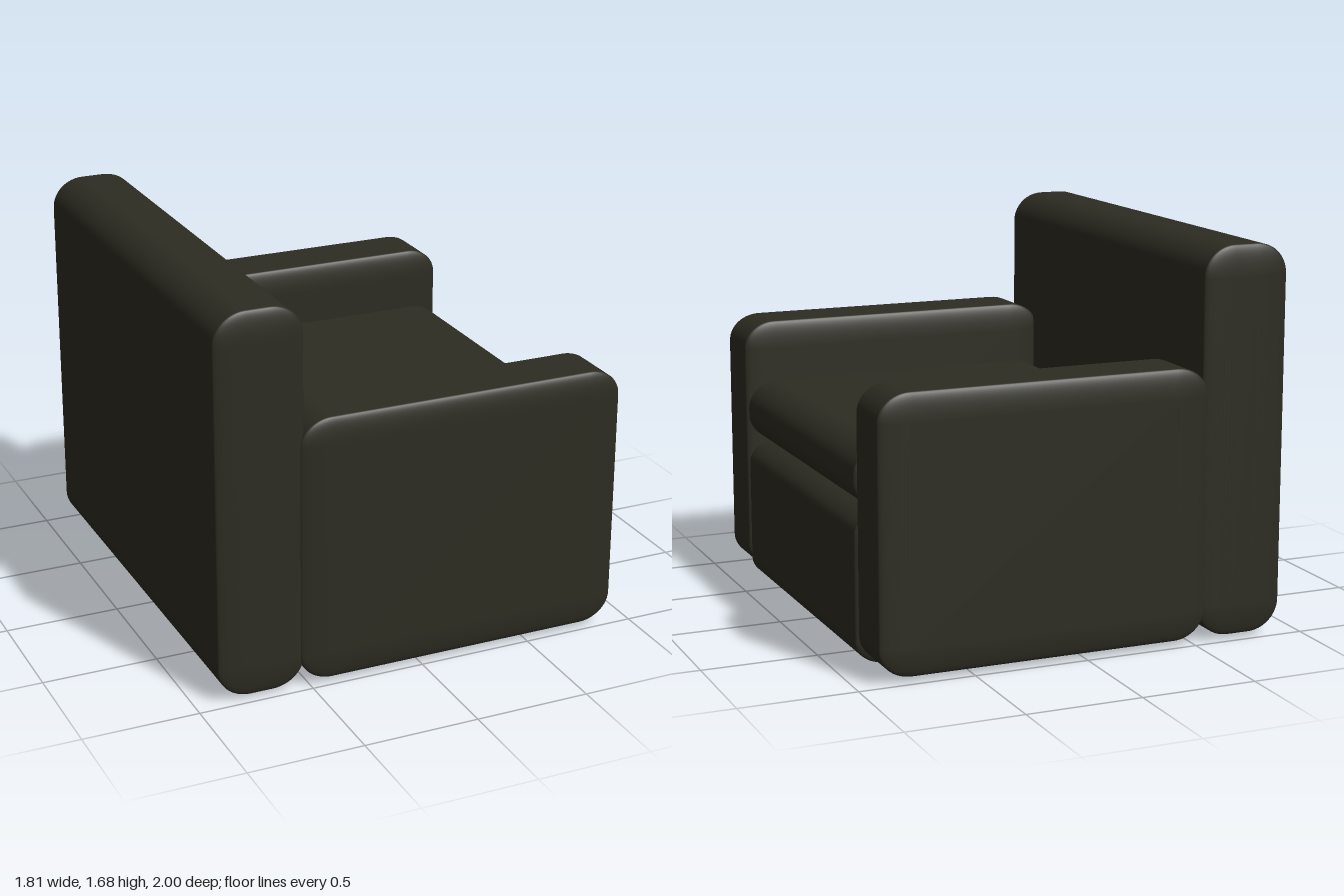
import * as THREE from 'three';
import { RoundedBoxGeometry } from 'three/addons/geometries/RoundedBoxGeometry.js';

// Cushion block between two corners, with a different corner radius along each axis
function cushion(name, material, [x0, y0, z0], [x1, y1, z1], [rx, ry, rz]) {
  const geometry = new RoundedBoxGeometry((x1 - x0) / rx, (y1 - y0) / ry, (z1 - z0) / rz, 8, 1);
  geometry.scale(rx, ry, rz);
  const mesh = new THREE.Mesh(geometry, material);
  mesh.name = name;
  mesh.position.set((x0 + x1) / 2, (y0 + y1) / 2, (z0 + z1) / 2);
  return mesh;
}

export function createModel() {
  const group = new THREE.Group();
  group.name = 'armchair';
  const upholstery = new THREE.MeshStandardMaterial({ color: 0x2d2c22 });
  upholstery.name = 'dark olive upholstery';

  // Seat faces +x, with the backrest at -x
  group.add(
    cushion('backrest', upholstery, [-0.905, 0.02, -0.99], [-0.525, 1.68, 0.99], [0.14, 0.13, 0.025]),
    cushion('base', upholstery, [-0.545, 0, -0.722], [0.905, 0.65, 0.722], [0.14, 0.1, 0.025]),
    cushion('seatCushion', upholstery, [-0.545, 0.65, -0.722], [0.905, 0.92, 0.722], [0.14, 0.12, 0.025])
  );

  // Armrests on both sides
  for (const side of [-1, 1]) {
    const arm = cushion(side > 0 ? 'leftArmrest' : 'rightArmrest', upholstery,
      [-0.545, 0.025, -0.139], [0.905, 1.185, 0.139], [0.14, 0.12, 0.025]);
    arm.position.z = side * 0.861;
    group.add(arm);
  }
  return group;
}
